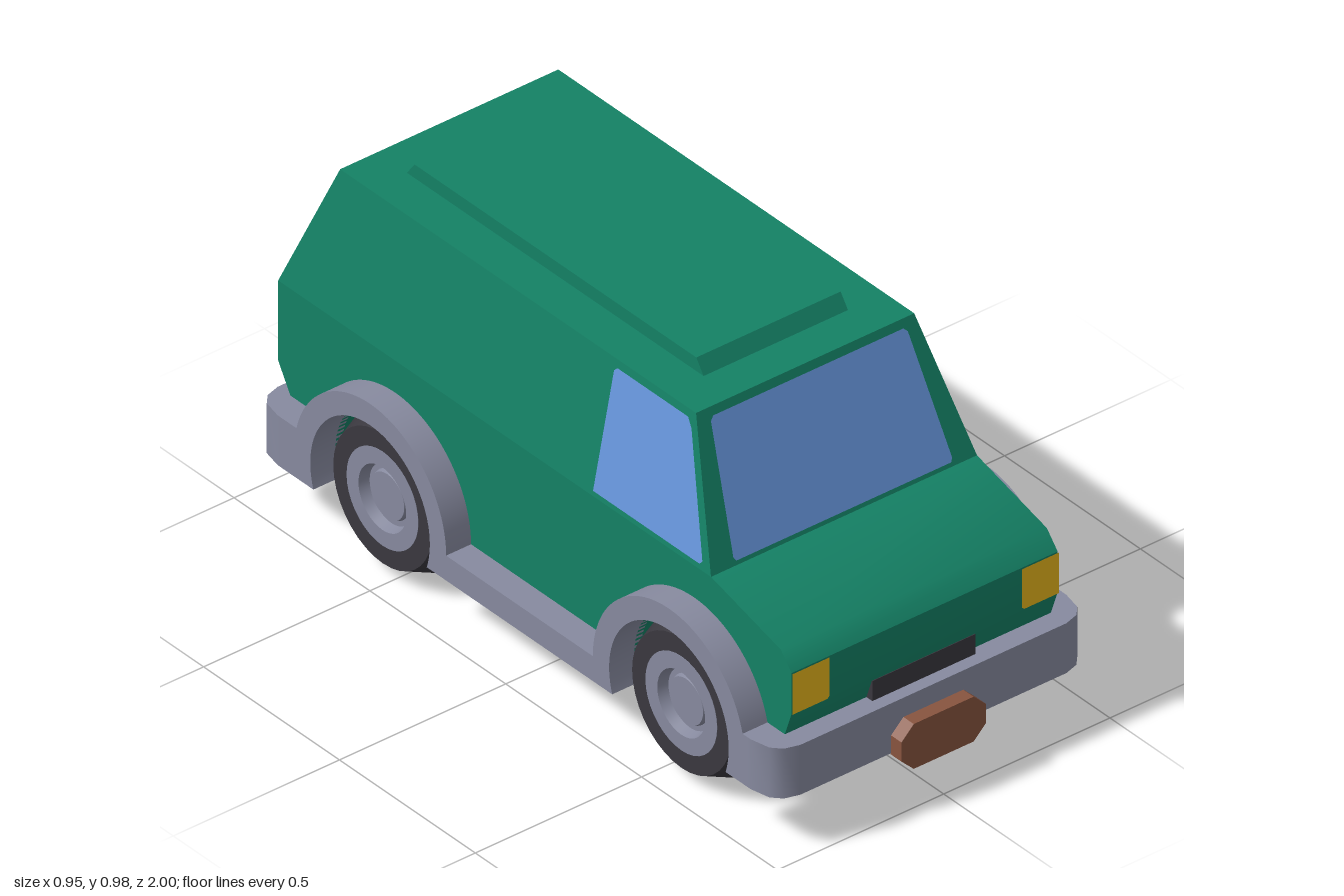
import * as THREE from 'three';
import { toCreasedNormals } from 'three/addons/utils/BufferGeometryUtils.js';

const paint = (name, color) => Object.assign(new THREE.MeshStandardMaterial({ color }), { name });

export function createModel() {
  const van = new THREE.Group();
  van.name = 'van';
  const green = paint('green paint', 0x148165);
  const glass = paint('blue glass', 0x6796dc);
  const grey = paint('grey trim', 0x878a9f);
  const dark = paint('dark rubber', 0x3a383f);
  const amber = paint('amber lamp', 0xe6b51c);
  const red = paint('red lamp', 0xd83c38);
  const brown = paint('brown plate', 0x88543f);

  const add = (name, geometry, material, parent = van) => {
    const mesh = new THREE.Mesh(geometry, material);
    mesh.name = name;
    parent.add(mesh);
    return mesh;
  };
  const toShape = (pts) => new THREE.Shape(pts.map(([a, b]) => new THREE.Vector2(a, b)));
  const smooth = (g) => toCreasedNormals(g, 0.6);

  // Side profile (z, y) extruded across x0..x1
  const extrudeSide = (shape, x0, x1) => {
    const g = new THREE.ExtrudeGeometry(shape, { depth: x1 - x0, bevelEnabled: false, curveSegments: 28 });
    return g.rotateY(-Math.PI / 2).translate(x1, 0, 0);
  };
  // Flat convex panel floating just outside the body
  const panel = (name, pts, material) => {
    const p = pts.map((q) => new THREE.Vector3(...q));
    const n = p[1].clone().sub(p[0]).cross(p[2].clone().sub(p[0])).normalize();
    const mid = p.reduce((s, v) => s.add(v), new THREE.Vector3()).divideScalar(p.length);
    if (n.dot(mid.sub(new THREE.Vector3(0, 0.4, 0))) < 0) {
      n.negate();
      p.reverse();
    }
    const pos = [];
    for (let i = 1; i < p.length - 1; i++) {
      for (const v of [p[0], p[i], p[i + 1]]) pos.push(...v.clone().addScaledVector(n, 0.004).toArray());
    }
    const g = new THREE.BufferGeometry();
    g.setAttribute('position', new THREE.Float32BufferAttribute(pos, 3));
    g.computeVertexNormals();
    return add(name, g, material);
  };

  // Wheel wells cut into a profile, running along its bottom edge from rear to front
  const axles = [0.57, -0.53];
  const cutWells = (shape, bottom) => {
    const r = 0.22, dip = Math.asin((0.22 - bottom) / r);
    for (const z of [axles[1], axles[0]]) shape.absarc(z, 0.22, r, Math.PI + dip, -dip, true);
  };

  // Lower body
  const lower = toShape([
    [0.86, 0.16], [0.905, 0.29], [0.93, 0.36], [0.93, 0.475], [0.89, 0.52], [0.633, 0.59],
    [-0.96, 0.59], [-0.96, 0.365], [-0.915, 0.29], [-0.87, 0.16],
  ]);
  cutWells(lower, 0.16);
  add('lowerBody', smooth(extrudeSide(lower, -0.4, 0.4)).toNonIndexed?.() ?? lower, green);

  // Upper body, leaning inwards towards the roof
  const cabin = extrudeSide(toShape([[0.633, 0.59], [0.49, 0.945], [-0.82, 0.945], [-0.96, 0.59]]), -0.4, 0.4);
  const pos = cabin.attributes.position;
  for (let i = 0; i < pos.count; i++) if (pos.getY(i) > 0.9) pos.setX(i, pos.getX(i) * 0.82);
  cabin.computeVertexNormals();
  add('upperBody', cabin, green);

  // Raised roof panel
  add('roofPanel', extrudeSide(toShape([
    [0.382, 0.945], [0.355, 0.983], [-0.682, 0.983], [-0.71, 0.945],
  ]), -0.217, 0.217), green);

  // Cabin wall positions at height y
  const rise = (y) => (y - 0.59) / 0.355;
  const frontZ = (y) => 0.633 - 0.143 * rise(y);
  const rearZ = (y) => -0.96 + 0.14 * rise(y);
  const sideX = (y) => 0.4 - 0.072 * rise(y);

  // Windows with clipped corners
  panel('windshield', [
    [-0.323, 0.601], [0.323, 0.601], [0.329, 0.61], [0.296, 0.915], [0.286, 0.925],
    [-0.286, 0.925], [-0.296, 0.915], [-0.329, 0.61],
  ].map(([x, y]) => [x, y, frontZ(y)]), glass);
  for (const s of [1, -1]) {
    const side = s > 0 ? 'left' : 'right';
    panel(side + 'SideWindow', [
      [0.2, 0.605], [0.592, 0.605], [0.6, 0.615], [0.488, 0.905], [0.47, 0.927], [0.21, 0.927], [0.2, 0.917],
    ].map(([z, y]) => [s * sideX(y), y, z]), glass);
    panel(side + 'RearWindow', [
      [0.028, 0.61], [0.296, 0.61], [0.302, 0.622], [0.277, 0.91], [0.267, 0.923], [0.03, 0.923], [0.02, 0.91], [0.02, 0.622],
    ].map(([x, y]) => [s * x, y, rearZ(y)]), glass);

    // Lamps
    panel(side + 'Headlight', [
      [0.4, 0.36], [0.4, 0.474], [0.289, 0.474], [0.289, 0.367], [0.296, 0.36],
    ].map(([x, y]) => [s * x, y, 0.93]), amber);
    panel(side + 'TailLight', [
      [0.4, 0.445], [0.4, 0.51], [0.35, 0.51], [0.338, 0.498], [0.338, 0.457], [0.35, 0.445],
    ].map(([x, y]) => [s * x, y, -0.96]), red);
  }

  // Grille under the nose
  add('grille', new THREE.BoxGeometry(0.31, 0.06, 0.09).translate(0, 0.316, 0.882), dark);

  // Side skirts with wheel arches
  const R = 0.28, outer = Math.asin(0.07 / R);
  const skirt = new THREE.Shape();
  skirt.moveTo(0.86, 0.15);
  skirt.lineTo(0.86, 0.29);
  skirt.absarc(axles[0], 0.22, R, outer, Math.PI, false);
  skirt.absarc(axles[1], 0.22, R, 0, Math.PI - outer, false);
  skirt.lineTo(-0.86, 0.29);
  skirt.lineTo(-0.86, 0.15);
  cutWells(skirt, 0.15);
  add('leftSkirt', smooth(extrudeSide(skirt, 0.38, 0.475)), grey);
  add('rightSkirt', smooth(extrudeSide(skirt, -0.475, -0.38)), grey);

  // Bumpers with rounded corners, and number plates
  const corner = [[0.475, 0.86], [0.475, 0.87], [0.463, 0.925], [0.44, 0.95], [0.4, 0.962]];
  const mirrored = corner.map(([x, z]) => [-x, z]).reverse();
  const bumper = smooth(new THREE.ExtrudeGeometry(toShape([...corner, ...mirrored]), { depth: 0.14, bevelEnabled: false })
    .rotateX(Math.PI / 2).translate(0, 0.29, 0));
  const plate = new THREE.ExtrudeGeometry(toShape([
    [0.09, 0.11], [0.127, 0.146], [0.127, 0.2], [0.09, 0.236],
    [-0.09, 0.236], [-0.127, 0.2], [-0.127, 0.146], [-0.09, 0.11],
  ]), { depth: 0.04, bevelEnabled: false }).translate(0, 0, 0.96);
  for (const [name, turn] of [['front', 0], ['rear', Math.PI]]) {
    add(name + 'Bumper', bumper, grey).rotation.y = turn;
    add(name + 'Plate', plate, brown).rotation.y = turn;
  }

  // Floor between the skirts
  add('floor', new THREE.BoxGeometry(0.76, 0.012, 1.72).translate(0, 0.156, 0), grey);

  // Wheels
  const lathe = (pts) => smooth(new THREE.LatheGeometry(
    pts.map(([a, b]) => new THREE.Vector2(a, b)), 36).rotateZ(-Math.PI / 2));
  const tyre = lathe([
    [0, -0.126], [0.182, -0.126], [0.217, -0.045], [0.217, 0.045], [0.182, 0.126],
    [0.13, 0.126], [0.13, 0.08], [0, 0.08],
  ]);
  const rim = lathe([[0.132, 0.09], [0.132, 0.127], [0.088, 0.127], [0.08, 0.1], [0.066, 0.1], [0.062, 0.112], [0, 0.112]]);
  for (const z of axles) {
    for (const s of [1, -1]) {
      const wheel = new THREE.Group();
      wheel.name = (z > 0 ? 'front' : 'rear') + (s > 0 ? 'Left' : 'Right') + 'Wheel';
      wheel.position.set(s * 0.311, 0.218, z);
      wheel.rotation.y = s > 0 ? 0 : Math.PI;
      add('tyre', tyre, dark, wheel);
      add('rim', rim, grey, wheel);
      van.add(wheel);
    }
  }
  return van;
}
